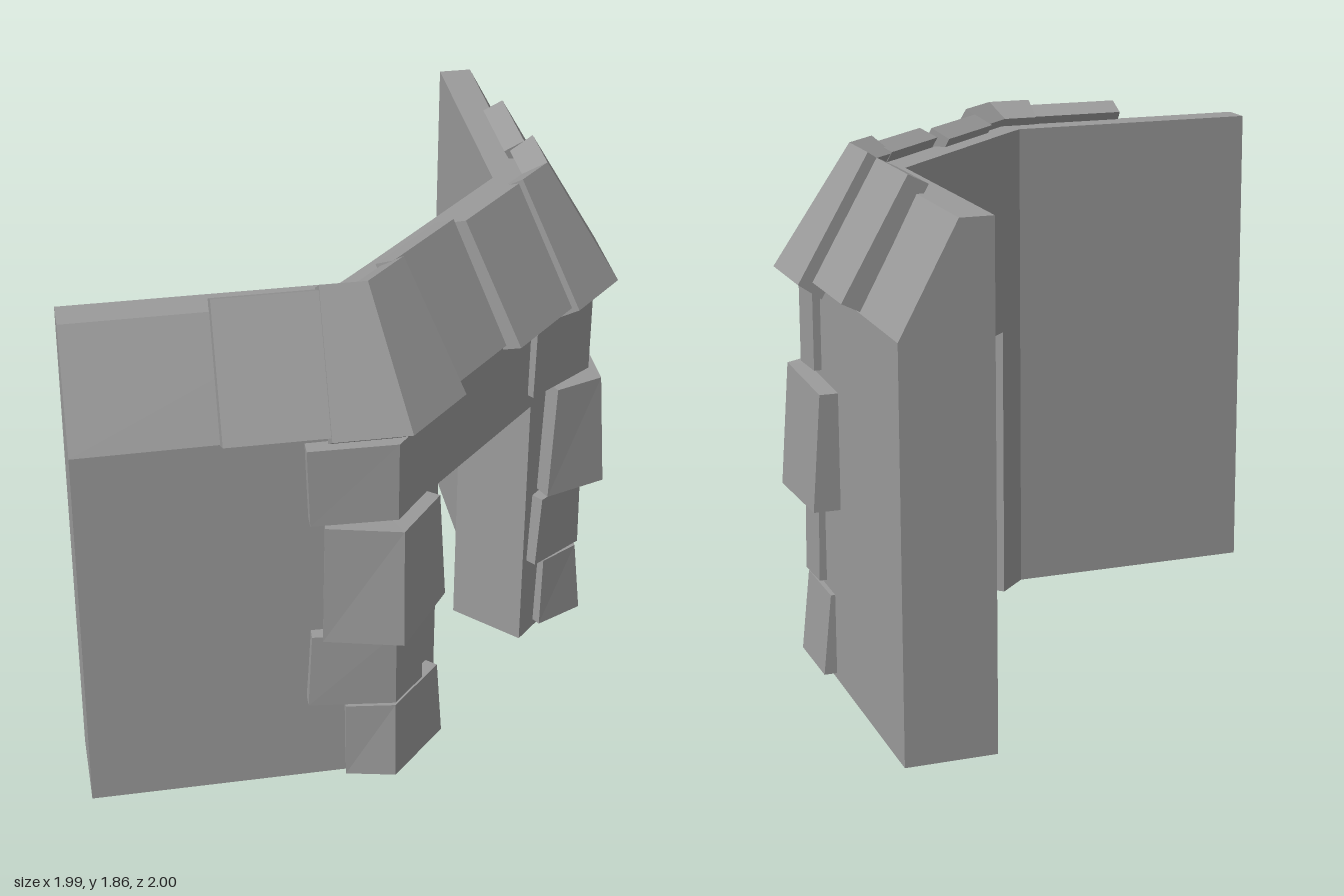
import * as THREE from 'three';

const material = new THREE.MeshStandardMaterial({ color: 0x9b9b9b, flatShading: true });

// Moves a plan path [x, z] outward by a distance, with mitred corners
function offsetPath(path, dist) {
  const normals = path.slice(1).map(([x, z], i) => {
    const dx = x - path[i][0], dz = z - path[i][1], l = Math.hypot(dx, dz);
    return [-dz / l, dx / l];
  });
  return path.map(([x, z], i) => {
    const a = normals[Math.max(i - 1, 0)], b = normals[Math.min(i, normals.length - 1)];
    const k = dist / (1 + a[0] * b[0] + a[1] * b[1]);
    return [x + (a[0] + b[0]) * k, z + (a[1] + b[1]) * k];
  });
}

// Joins convex cross-sections into a closed, flat-shaded solid
function loft(name, sections) {
  const pos = [];
  const tri = (...pts) => pts.forEach((p) => pos.push(...p));
  const n = sections[0].length, last = sections[sections.length - 1];
  for (let i = 0; i < sections.length - 1; i++) {
    const s = sections[i], t = sections[i + 1];
    for (let j = 0; j < n; j++) {
      const k = (j + 1) % n;
      tri(s[j], t[j], t[k]);
      tri(s[j], t[k], s[k]);
    }
  }
  for (let j = 1; j < n - 1; j++) {
    tri(sections[0][0], sections[0][j], sections[0][j + 1]);
    tri(last[0], last[j + 1], last[j]);
  }
  const geo = new THREE.BufferGeometry();
  geo.setAttribute('position', new THREE.Float32BufferAttribute(pos, 3));
  geo.computeVertexNormals();
  const mesh = new THREE.Mesh(geo, material);
  mesh.name = name;
  return mesh;
}

// Wall with a bevelled top, between outer and inner plan points
function wall(name, stations, base) {
  const profile = [[0, base], [0, 1.4], [0.635, 1.775], [1, 1.775], [1, base]];
  return loft(name, stations.map(([o, i]) =>
    profile.map(([t, y]) => [o[0] + (i[0] - o[0]) * t, y, o[1] + (i[1] - o[1]) * t])));
}

// Sloping slab swept along a path; profile points are [outward offset, y]
function slab(name, path, top, lip, under) {
  const back = [top[0] + under[0] - lip[0], top[1] + under[1] - lip[1]];
  const profile = [back, under, lip, top];
  const rails = profile.map(([d]) => offsetPath(path, d));
  return loft(name, path.map((_, i) => profile.map(([, y], j) => [rails[j][i][0], y, rails[j][i][1]])));
}

// Bent stone whose lower and upper outlines [x, y, z] may differ
function cornerStone(name, low, high) {
  const depth = -0.1, plan = (pts) => pts.map(([x, , z]) => [x, z]);
  const lowIn = offsetPath(plan(low), depth), highIn = offsetPath(plan(high), depth);
  return loft(name, low.map((p, i) => [
    p, high[i],
    [highIn[i][0], high[i][1], highIn[i][1]],
    [lowIn[i][0], p[1], lowIn[i][1]],
  ]));
}

export function createModel() {
  const model = new THREE.Group();
  model.name = 'cornerGateway';

  // Wall stations as [outer, inner] plan points, broken by the doorway
  const A = [[-1, 0.865], [-1, 0.55]], B = [[0.035, 0.855], [-0.083, 0.55]];
  const doorL = [[0.237, 0.652], [0.025, 0.445]], doorR = [[0.657, 0.232], [0.45, 0.02]];
  const C = [[0.872, 0.015], [0.568, -0.098]], D = [[0.885, -1], [0.568, -1]];
  model.add(
    wall('rightWall', [A, B, doorL], 0),
    wall('leftWall', [doorR, C, D], 0),
    wall('lintel', [doorL, doorR], 1.03),
  );

  // Coping slabs: path, then top front edge, lower lip and underside edge
  const slabs = [
    [[[-0.52, 0.865], [-0.175, 0.865]], [-0.165, 1.84], [0.07, 1.435], [0, 1.4]],
    [[[-0.175, 0.865], [0.05, 0.865], [0.24, 0.676]], [-0.165, 1.86], [0.09, 1.43], [0.01, 1.375]],
    [[[0.23, 0.686], [0.48, 0.438]], [-0.195, 1.84], [0.03, 1.43], [-0.04, 1.395]],
    [[[0.49, 0.428], [0.735, 0.184]], [-0.155, 1.84], [0.08, 1.43], [0.01, 1.4]],
    [[[0.725, 0.194], [0.88, 0.04], [0.88, -0.235]], [-0.14, 1.86], [0.11, 1.43], [0.03, 1.375]],
    [[[0.88, -0.235], [0.88, -0.575]], [-0.17, 1.84], [0.06, 1.435], [-0.01, 1.4]],
  ];
  const coping = new THREE.Group();
  coping.name = 'coping';
  slabs.forEach((s, i) => coping.add(slab('copingSlab' + (i + 1), ...s)));
  model.add(coping);

  // Rough stones wrapped around both corners, from the bottom up
  const posts = {
    rightPost: [
      [[[-0.12, 0.025, 0.91], [0.05, 0.02, 0.94], [0.253, 0.03, 0.735]],
        [[-0.12, 0.315, 0.9], [0.05, 0.31, 0.915], [0.235, 0.31, 0.72]]],
      [[[-0.25, 0.345, 0.91], [0.05, 0.325, 0.92], [0.167, 0.32, 0.79]],
        [[-0.235, 0.625, 0.9], [0.05, 0.62, 0.915], [0.167, 0.62, 0.785]]],
      [[[-0.205, 0.635, 0.94], [0.06, 0.63, 1], [0.247, 0.65, 0.76]],
        [[-0.195, 1.085, 0.93], [0.06, 1.07, 0.97], [0.22, 1.06, 0.765]]],
      [[[-0.24, 1.085, 0.91], [0.05, 1.085, 0.918], [0.167, 1.095, 0.79]],
        [[-0.25, 1.375, 0.91], [0.05, 1.375, 0.915], [0.167, 1.375, 0.785]]],
    ],
    leftPost: [
      [[[0.742, 0.03, 0.195], [0.92, 0.02, 0.1], [0.92, 0.02, -0.185]],
        [[0.75, 0.31, 0.18], [0.89, 0.31, 0.1], [0.89, 0.31, -0.185]]],
      [[[0.7, 0.345, 0.245], [0.9, 0.325, 0.095], [0.9, 0.33, -0.078]],
        [[0.718, 0.625, 0.235], [0.895, 0.62, 0.095], [0.895, 0.62, -0.078]]],
      [[[0.735, 0.64, 0.24], [0.965, 0.63, 0.15], [0.97, 0.65, -0.285]],
        [[0.758, 1.08, 0.22], [0.935, 1.07, 0.145], [0.94, 1.06, -0.285]]],
      [[[0.655, 1.09, 0.27], [0.9, 1.085, 0.095], [0.9, 1.09, -0.078]],
        [[0.66, 1.375, 0.27], [0.9, 1.375, 0.095], [0.9, 1.375, -0.078]]],
    ],
  };
  for (const [name, stones] of Object.entries(posts)) {
    const post = new THREE.Group();
    post.name = name;
    stones.forEach(([low, high], i) => post.add(cornerStone(name + 'Stone' + (i + 1), low, high)));
    model.add(post);
  }
  return model;
}
